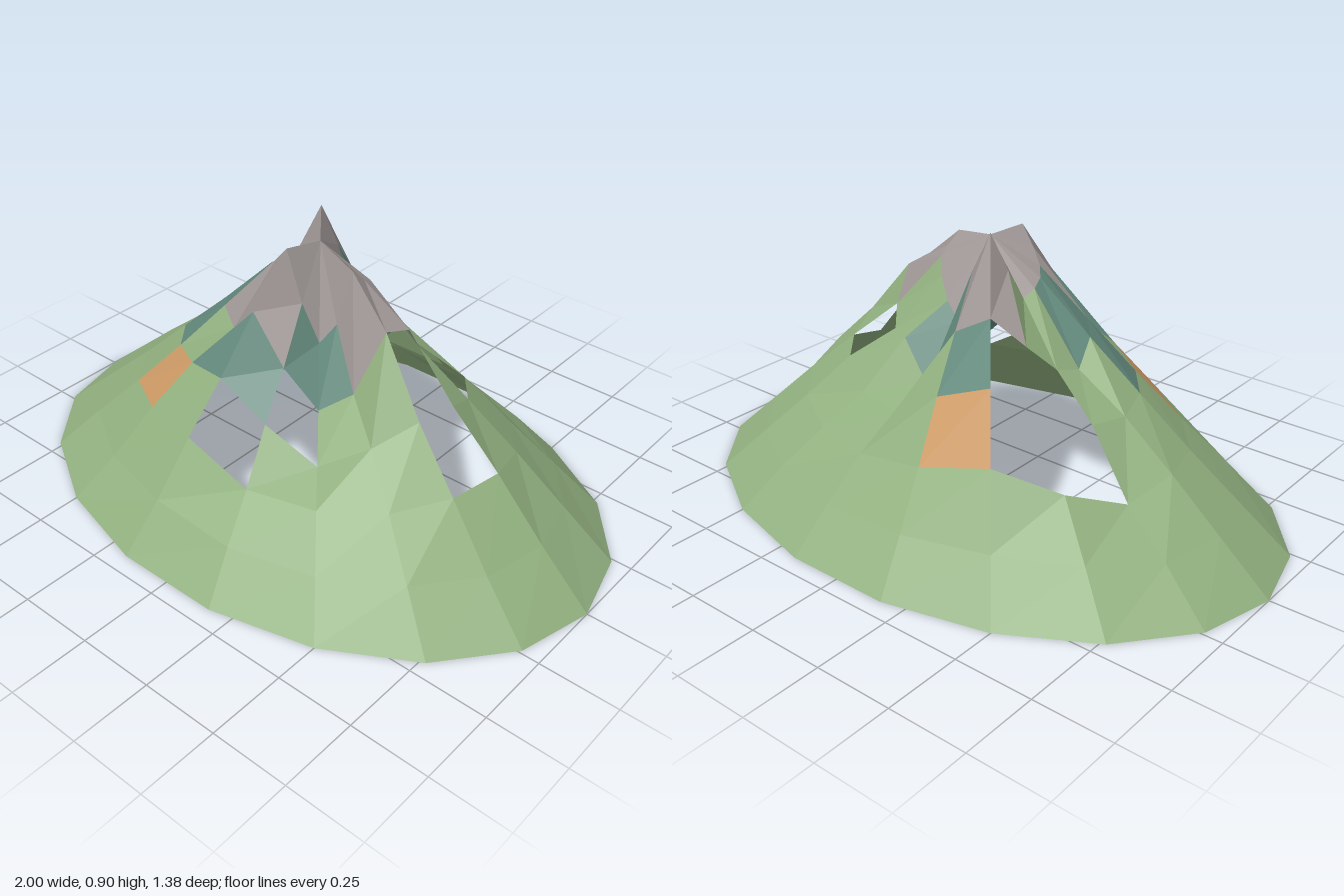
import * as THREE from 'three';

const SIDES = 18, RINGS = 6, DEPTH = 0.7, PEAK = 0.85;

// Height of the slope on each ring, from the summit outwards, every 20 degrees from +x towards +z
const HEIGHTS = [
  [.78, .82, .65, .58, .70, .86, .80, .76, .74, .72, .70, .79, .90, .78, .60, .65, .71, .76],
  [.68, .70, .50, .43, .545, .69, .58, .60, .58, .51, .53, .61, .69, .63, .43, .54, .53, .575],
  [.49, .485, .41, .325, .42, .505, .47, .44, .43, .41, .42, .42, .535, .475, .37, .375, .427, .44],
  [.335, .32, .29, .27, .267, .34, .32, .29, .28, .28, .24, .29, .354, .305, .27, .26, .28, .30],
  [.16, .15, .15, .14, .14, .16, .15, .15, .14, .14, .13, .15, .16, .15, .14, .14, .14, .15],
];

// Surface of each cell, ring by ring: r rock, t scree, g grass, o clay, - opening
const CELLS = [
  'rrrrrrrrrrrrrrrrrr',
  'rrttrrrttggrrttggr',
  '-gg-ttgtgg--tggg-g',
  '-ggg-gogg' + 'g--oggggg',
  'gggggggggggggggggg',
  'gggggggggggggggggg',
];

const KINDS = {
  r: ['rockSummit', 'rock grey', 0xa09897],
  t: ['screeBand', 'scree teal', 0x648a7d],
  g: ['grassSlope', 'grass green', 0x92b180],
  o: ['clayPatch', 'clay orange', 0xcd9a66],
};

// Point on the slope; ring 0 is the summit and the last ring is the foot
function slopePoint(ring, side) {
  const i = side % SIDES;
  const angle = (i / SIDES) * Math.PI * 2;
  const r = ring / RINGS;
  const y = ring === 0 ? PEAK : ring === RINGS ? 0 : HEIGHTS[ring - 1][i];
  return [r * Math.cos(angle), y, r * DEPTH * Math.sin(angle)];
}

// All cells of one kind as a single faceted sheet
function buildSheet(kind) {
  const positions = [];
  for (let ring = 0; ring < RINGS; ring++) {
    for (let i = 0; i < SIDES; i++) {
      if (CELLS[ring][i] !== kind) continue;
      const a = slopePoint(ring, i), b = slopePoint(ring, i + 1);
      const c = slopePoint(ring + 1, i), d = slopePoint(ring + 1, i + 1);
      if (ring > 0) positions.push(...a, ...b, ...d);
      positions.push(...a, ...d, ...c);
    }
  }
  const geometry = new THREE.BufferGeometry();
  geometry.setAttribute('position', new THREE.Float32BufferAttribute(positions, 3));
  geometry.computeVertexNormals();
  return geometry;
}

export function createModel() {
  const mountain = new THREE.Group();
  mountain.name = 'mountain';
  for (const [kind, [part, colourName, color]] of Object.entries(KINDS)) {
    const material = new THREE.MeshStandardMaterial({
      color, flatShading: true, side: THREE.DoubleSide,
    });
    material.name = colourName;
    const mesh = new THREE.Mesh(buildSheet(kind), material);
    mesh.name = part;
    mountain.add(mesh);
  }
  return mountain;
}
